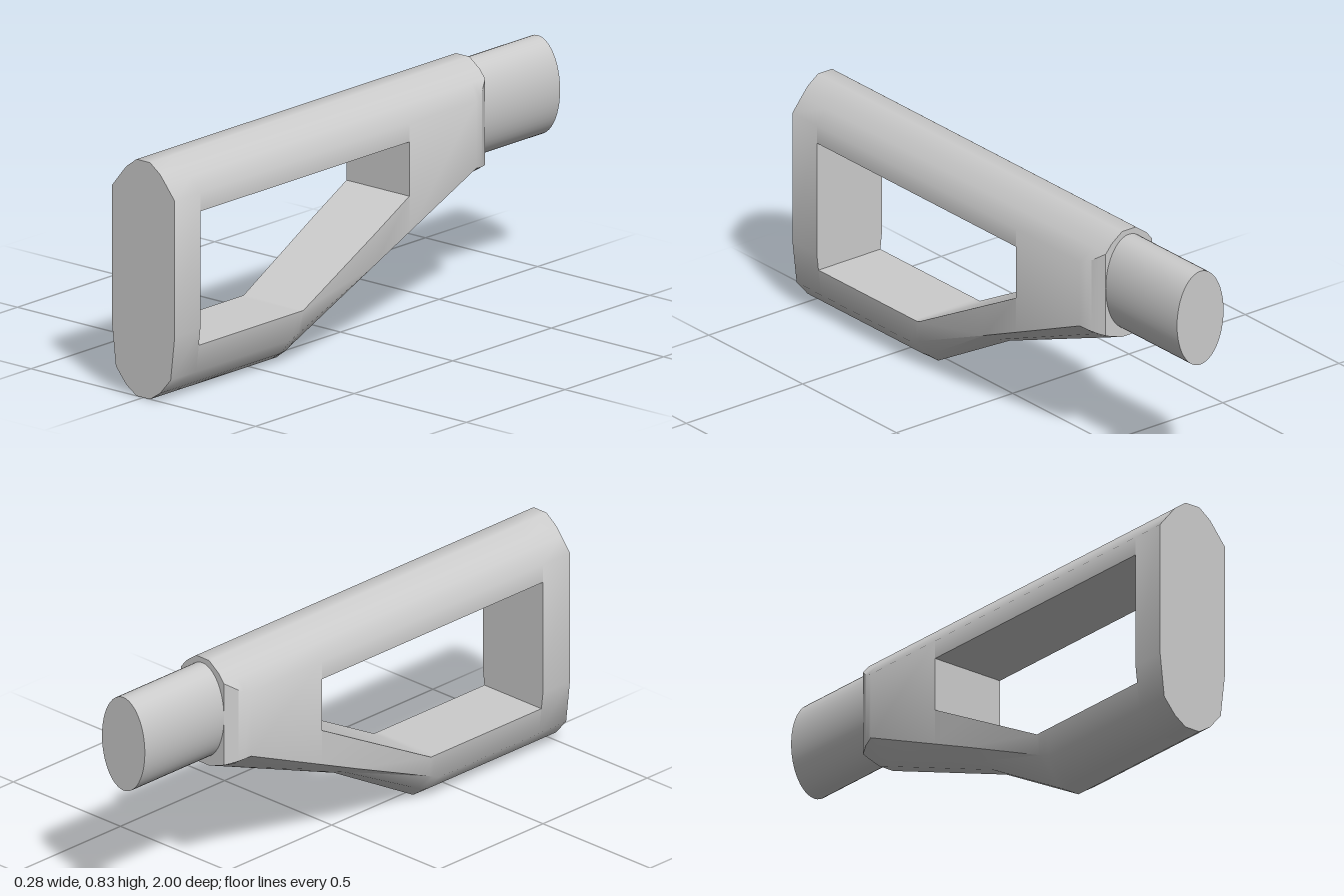
import * as THREE from 'three';
import { mergeGeometries, toCreasedNormals } from 'three/addons/utils/BufferGeometryUtils.js';

// piecewise-linear lookup through [position, value] pairs, positions descending
function along(keys, p) {
  if (p >= keys[0][0]) return keys[0][1];
  for (let i = 1; i < keys.length; i++) {
    const [p0, v0] = keys[i - 1], [p1, v1] = keys[i];
    if (p >= p1) return v0 + (v1 - v0) * (p0 - p) / (p0 - p1);
  }
  return keys[keys.length - 1][1];
}

// outlines along the length
const underside = z => along([[1, 0], [0.36, 0], [-0.02, 0.21], [-0.62, 0.44]], z);
const lowerEdge = z => along([[1, 0.085], [0.39, 0.085], [-0.53, 0.48], [-0.62, 0.48]], z);
const neckWidth = z => along([[-0.53, 0.14], [-0.575, 0.125], [-0.62, 0.1]], z);
const holeFloor = z => along([[0.87, 0.18], [0.34, 0.18], [-0.19, 0.46]], z);
const HOLE_TOP = 0.65, HOLE_FRONT = 0.87, HOLE_BACK = -0.19;

// half width at a height, narrowing towards the foot
const width = (y, z) => Math.min(along([[0.24, 0.14], [0.085, 0.122]], y), neckWidth(z));
const crownHeight = x => along([[0.14, 0.715], [0.1, 0.765], [0.075, 0.795], [0.03, 0.828]], x);

// right halves of the cross-sections, from bottom to top
function crown(z) {
  return [0.14, 0.1, 0.075, 0.03].map(v => {
    const x = Math.min(v, neckWidth(z));
    return [x, crownHeight(x), z];
  });
}
function keel(z, ceiling) {
  const y0 = underside(z), y1 = lowerEdge(z);
  const full = along([[0.24, 0.14], [0.085, 0.122]], y1), x = width(y1, z);
  const f = 0.35 + 0.65 * (x - 0.075) / (full - 0.075);
  const side = y0 + (y1 - y0) * f;
  const kink = Math.min(Math.max(0.24, side), ceiling);
  return [[0.03, y0, z], [0.075, y0 + (y1 - y0) * 0.35, z], [x, side, z], [width(kink, z), kink, z]];
}
const fullSection = z => [...keel(z, 0.7), ...crown(z)];
const upperRail = z => [[0.14, HOLE_TOP, z], ...crown(z)];
const lowerRail = z => [...keel(z, holeFloor(z)), [width(holeFloor(z), z), holeFloor(z), z]];

const mirror = ([x, y, z]) => [-x, y, z];

function quad(out, a, b, c, d) {
  for (const tri of [[a, b, c], [a, c, d]]) {
    const [p, q, r] = tri.map(v => new THREE.Vector3(...v));
    if (q.sub(p).cross(r.sub(p)).length() > 1e-8) tri.forEach(v => out.push(...v));
  }
}

// skin through mirrored sections, from front to back
function loft(out, section, stations) {
  const loops = stations.map(z => {
    const half = section(z);
    return [...half, ...half.map(mirror).reverse()];
  });
  for (let s = 1; s < loops.length; s++) {
    const a = loops[s - 1], b = loops[s], n = a.length;
    for (let i = 0; i < n; i++) {
      const j = (i + 1) % n;
      quad(out, a[i], b[i], b[j], a[j]);
    }
  }
}

// flat wall across a mirrored half outline
function wall(out, half, facesFront) {
  for (let i = 1; i < half.length; i++) {
    const lo = half[i - 1], hi = half[i];
    if (facesFront) quad(out, mirror(lo), lo, hi, mirror(hi));
    else quad(out, lo, mirror(lo), mirror(hi), hi);
  }
}

function geometryFrom(positions) {
  const g = new THREE.BufferGeometry();
  g.setAttribute('position', new THREE.Float32BufferAttribute(positions, 3));
  return g;
}

export function createModel() {
  const model = new THREE.Group();
  model.name = 'shoulderStock';
  const material = new THREE.MeshStandardMaterial({ color: 0xcccccc });

  // outer frame: front post, two rails around the opening, rear block
  const post = [], rails = [], block = [], walls = [];
  loft(post, fullSection, [1, HOLE_FRONT]);
  loft(rails, upperRail, [HOLE_FRONT, HOLE_BACK]);
  loft(rails, lowerRail, [HOLE_FRONT, 0.39, 0.36, 0.34, -0.02, HOLE_BACK]);
  loft(block, fullSection, [HOLE_BACK, -0.53, -0.555, -0.575, -0.6, -0.62]);

  // end faces and the two upright faces inside the opening
  wall(walls, fullSection(1), true);
  wall(walls, fullSection(-0.62), false);
  wall(walls, [0.18, 0.24, HOLE_TOP].map(y => [width(y, HOLE_FRONT), y, HOLE_FRONT]), false);
  wall(walls, [holeFloor(HOLE_BACK), HOLE_TOP].map(y => [0.14, y, HOLE_BACK]), true);

  const frame = new THREE.Mesh(
    toCreasedNormals(mergeGeometries([post, rails, block, walls].map(geometryFrom)), 0.76), material);
  frame.name = 'frame';
  model.add(frame);

  // oval tube at the rear
  const tubeGeometry = new THREE.CylinderGeometry(1, 1, 0.39, 48);
  tubeGeometry.rotateX(Math.PI / 2).scale(0.1, 0.172, 1);
  const tube = new THREE.Mesh(tubeGeometry, material);
  tube.name = 'rearTube';
  tube.position.set(0, 0.638, -0.805);
  model.add(tube);

  return model;
}
